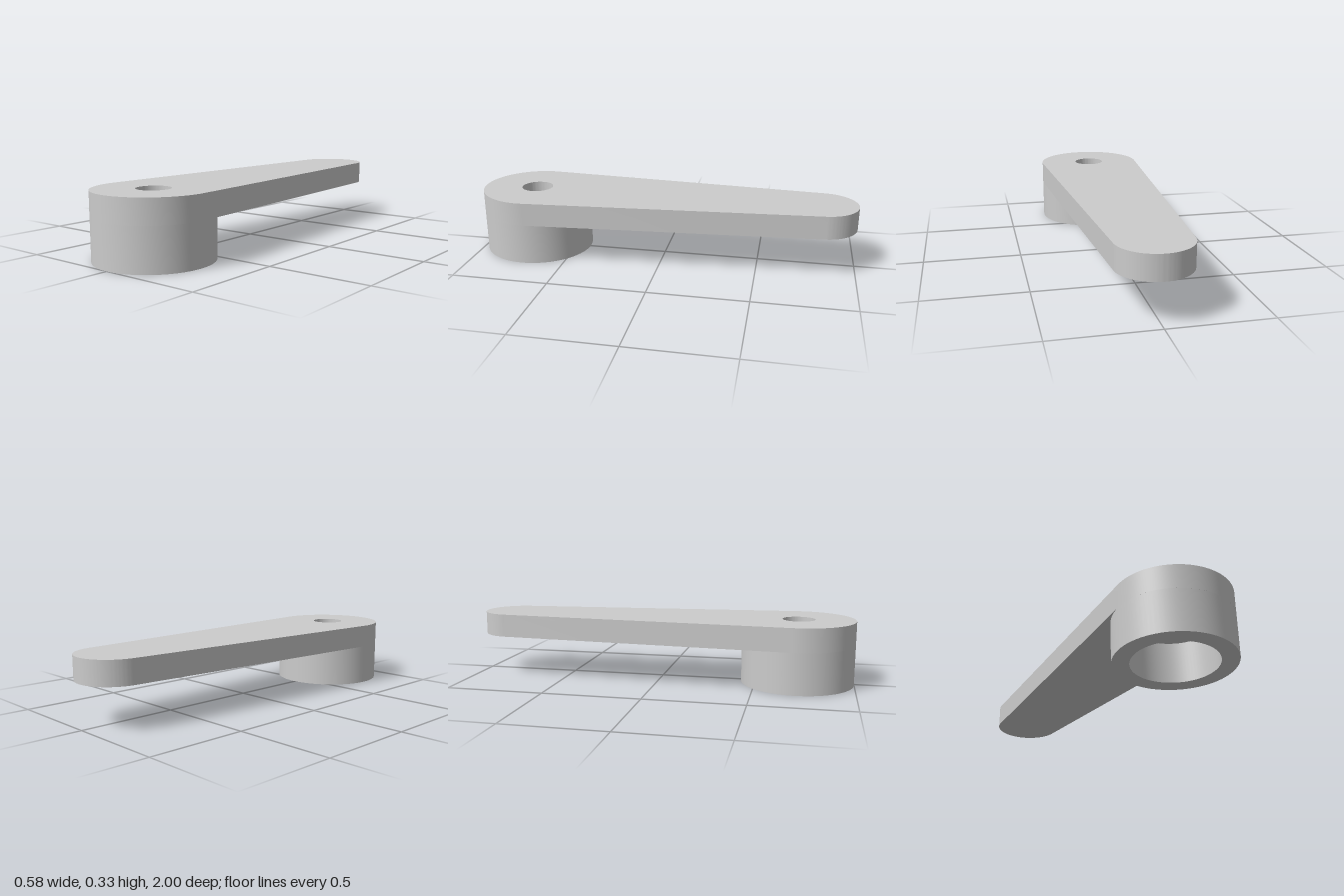
import * as THREE from 'three';
import { toCreasedNormals } from 'three/addons/utils/BufferGeometryUtils.js';

const HUB = { r: 0.288, z: 0.712, bore: 0.206, hole: 0.083 };
const TIP = { r: 0.18, z: -0.82 };
const UNDERSIDE = 0.21, TOP = 0.33;

export function createModel() {
  const group = new THREE.Group();
  const material = new THREE.MeshStandardMaterial({ color: 0xcccccc });
  const add = (name, geometry) => {
    const mesh = new THREE.Mesh(toCreasedNormals(geometry, 0.6), material);
    mesh.name = name;
    group.add(mesh);
    return mesh;
  };

  // Tapered arm: two arcs joined by their common tangents, with a screw hole
  const tangent = Math.asin((HUB.r - TIP.r) / (HUB.z - TIP.z));
  const outline = new THREE.Shape();
  outline.absarc(0, -HUB.z, HUB.r, Math.PI - tangent, 2 * Math.PI + tangent, false);
  outline.absarc(0, -TIP.z, TIP.r, tangent, Math.PI - tangent, false);
  outline.closePath();
  outline.holes.push(new THREE.Path().absarc(0, -HUB.z, HUB.hole, 0, 2 * Math.PI, true));
  const arm = new THREE.ExtrudeGeometry(outline, {
    depth: TOP - UNDERSIDE, bevelEnabled: false, curveSegments: 40,
  });
  arm.rotateX(-Math.PI / 2);
  add('arm', arm).position.y = UNDERSIDE;

  // Hollow hub below the arm, closed at the top by the arm's underside
  const profile = [
    [HUB.bore, UNDERSIDE], [HUB.bore, 0], [HUB.r, 0], [HUB.r, UNDERSIDE],
  ].map(([x, y]) => new THREE.Vector2(x, y));
  add('hub', new THREE.LatheGeometry(profile, 80)).position.z = HUB.z;

  return group;
}
